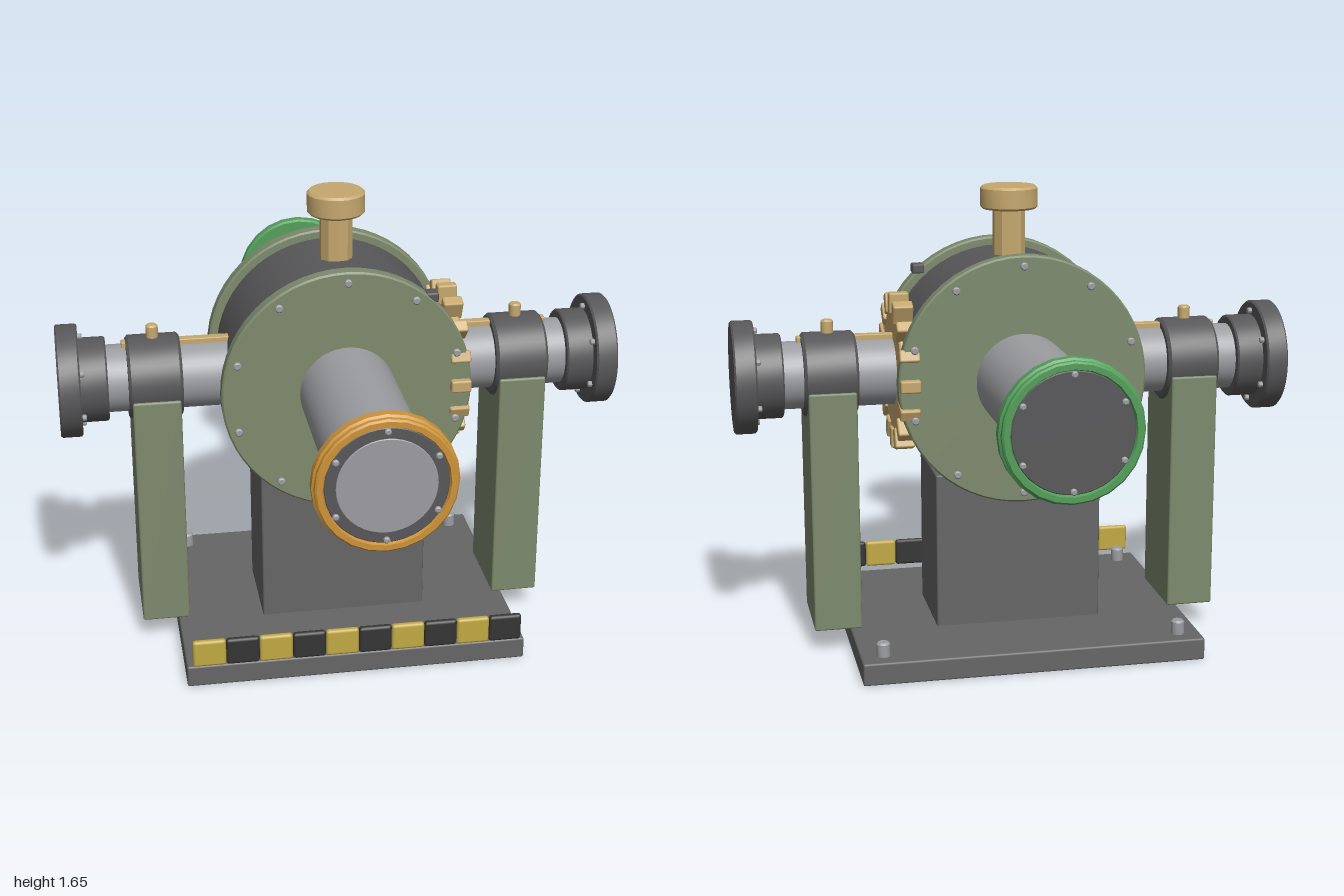
import * as THREE from 'three';
import { toCreasedNormals } from 'three/addons/utils/BufferGeometryUtils.js';
import { RoundedBoxGeometry } from 'three/addons/geometries/RoundedBoxGeometry.js';

const CY = 0.995; // height of the main axes

const mat = (name, color) => new THREE.MeshStandardMaterial({ name, color });

export function createModel() {
  const root = new THREE.Group();
  root.name = 'vacuumChamber';

  const iron = mat('ironGrey', 0x666667);
  const dark = mat('darkGrey', 0x58585a);
  const steel = mat('steel', 0x9c9da1);
  const olive = mat('olive', 0x7d8a6d);
  const brass = mat('brass', 0xc6a86e);
  const orange = mat('orange', 0xcd9339);
  const green = mat('green', 0x539e5a);
  const yellow = mat('yellow', 0xc2a944);
  const black = mat('black', 0x353536);

  const add = (parent, name, geometry, material, x = 0, y = 0, z = 0) => {
    const mesh = new THREE.Mesh(geometry, material);
    mesh.name = name;
    mesh.position.set(x, y, z);
    parent.add(mesh);
    return mesh;
  };

  const group = (parent, name, x = 0, y = 0, z = 0) => {
    const g = new THREE.Group();
    g.name = name;
    g.position.set(x, y, z);
    parent.add(g);
    return g;
  };

  const box = (w, h, d, r = 0.007) => new RoundedBoxGeometry(w, h, d, 1, r);

  // Turned part: profile of [radius, distance along axis], from low to high
  const turned = (profile, axis = 'y', sides = 40) => {
    const pts = profile.map(([r, t]) => new THREE.Vector2(r, t));
    const geo = toCreasedNormals(new THREE.LatheGeometry(pts, sides), 0.55);
    if (axis === 'z') geo.rotateX(Math.PI / 2);
    if (axis === 'x') geo.rotateZ(-Math.PI / 2);
    return geo;
  };

  // Solid disc or rod with a small bevel
  const rod = (r, from, to, axis = 'y', sides = 40, b = 0.006) => turned(
    [[0, from], [r - b, from], [r, from + b], [r, to - b], [r - b, to], [0, to]], axis, sides);

  // Ring of small bolts around the z axis
  const boltRing = (parent, name, count, radius, z, size, start = Math.PI / 2) => {
    for (let i = 0; i < count; i++) {
      const a = start + (i / count) * Math.PI * 2;
      add(parent, name, rod(size, -0.012, 0.012, 'z', 10, 0.004), steel,
        Math.cos(a) * radius, Math.sin(a) * radius, z);
    }
  };

  // Base, pedestal and anchor bolts
  add(root, 'basePlate', box(1.22, 0.08, 0.98), iron, 0, 0.04, 0);
  add(root, 'pedestal', box(0.6, 0.58, 0.35), iron, 0, 0.355, 0);
  for (const x of [-0.53, 0.53]) {
    for (const z of [-0.415, 0.415]) {
      add(root, 'anchorBolt', rod(0.024, 0.07, 0.13, 'y', 14), steel, x, 0, z);
    }
  }

  // Warning strip along the front edge
  for (let i = 0; i < 10; i++) {
    add(root, 'warningBlock', box(0.118, 0.1, 0.026, 0.01), i % 2 ? black : yellow,
      -0.531 + i * 0.118, 0.143, 0.502);
  }

  // Central drum
  const chamber = group(root, 'chamber', 0, CY, 0);
  add(chamber, 'drum', rod(0.41, -0.22, 0.22, 'z', 56), dark);

  // Flange, beam tube and end ring on both faces
  for (const front of [true, false]) {
    const side = group(chamber, front ? 'frontPort' : 'backPort');
    if (!front) side.rotation.y = Math.PI;
    add(side, 'flange', rod(0.44, 0.2, 0.256, 'z', 56), olive);
    boltRing(side, 'flangeBolt', 10, 0.403, 0.257, 0.014);
    add(side, 'beamTube', rod(0.167, 0.24, 0.95, 'z', 48), steel);
    add(side, 'endRing', turned([
      [0.1, 0.93], [0.23, 0.93], [0.237, 0.938], [0.237, 0.968], [0.23, 0.974], [0.23, 0.99],
      [0.224, 0.996], [0.205, 0.996], [0.2, 0.984], [0.1, 0.984],
    ], 'z', 24), front ? orange : green);
    add(side, 'endPlate', rod(0.2, 0.96, 0.988, 'z', 40, 0.003), dark);
    if (front) add(side, 'window', rod(0.163, 0.983, 0.992, 'z', 40, 0.002), steel);
    boltRing(side, 'endBolt', 6, 0.188, 0.988, 0.011);
  }

  // Small index block on the front flange rim
  add(chamber, 'indexBlock', box(0.045, 0.035, 0.055), dark, 0.295, 0.328, 0.225);

  // Trunnion arm with clamp, post and end cap, on both sides
  for (const s of [1, -1]) {
    const arm = group(root, s > 0 ? 'leftArm' : 'rightArm', 0, CY, 0);
    if (s < 0) arm.rotation.y = Math.PI;
    add(arm, 'armTube', rod(0.12, 0.36, 0.86, 'x'), steel);
    add(arm, 'clamp', rod(0.15, 0.56, 0.75, 'x', 40, 0.01), dark);
    add(arm, 'post', box(0.17, 0.87, 0.31), olive, 0.655, 0.52 - CY, 0);
    add(arm, 'slideKey', box(0.38, 0.024, 0.035, 0.004), brass, 0.575, 0.126, 0);
    add(arm, 'lockPin', rod(0.022, 0.13, 0.195, 'y', 14), brass, 0.655, 0, 0);
    add(arm, 'capNeck', rod(0.15, 0.82, 0.93, 'x'), dark);
    add(arm, 'endCap', rod(0.2, 0.915, 0.993, 'x', 48), dark);
    for (let i = 0; i < 6; i++) {
      const a = (i / 6) * Math.PI * 2;
      add(arm, 'neckBolt', rod(0.011, 0.9, 0.92, 'x', 10, 0.003), steel,
        0, Math.cos(a) * 0.165, Math.sin(a) * 0.165);
    }
  }

  // Toothed wheel on the left side of the drum
  const gear = group(root, 'gear', 0.4, CY, 0);
  add(gear, 'gearDisc', rod(0.222, -0.025, 0.025, 'x', 40), brass);
  for (let i = 0; i < 16; i++) {
    const a = (i / 16) * Math.PI * 2;
    const tooth = add(gear, 'gearTooth', box(0.072, 0.075, 0.044), brass,
      0, Math.cos(a) * 0.245, Math.sin(a) * 0.245);
    tooth.rotation.x = a;
  }

  // Top knob
  const knob = group(root, 'topKnob');
  const stem = new THREE.CylinderGeometry(0.058, 0.058, 0.2, 10).toNonIndexed();
  stem.computeVertexNormals();
  add(knob, 'knobStem', stem, brass, 0, 1.475, 0);
  add(knob, 'knobHead', rod(0.102, 1.565, 1.646, 'y', 20, 0.008), brass);

  return root;
}
